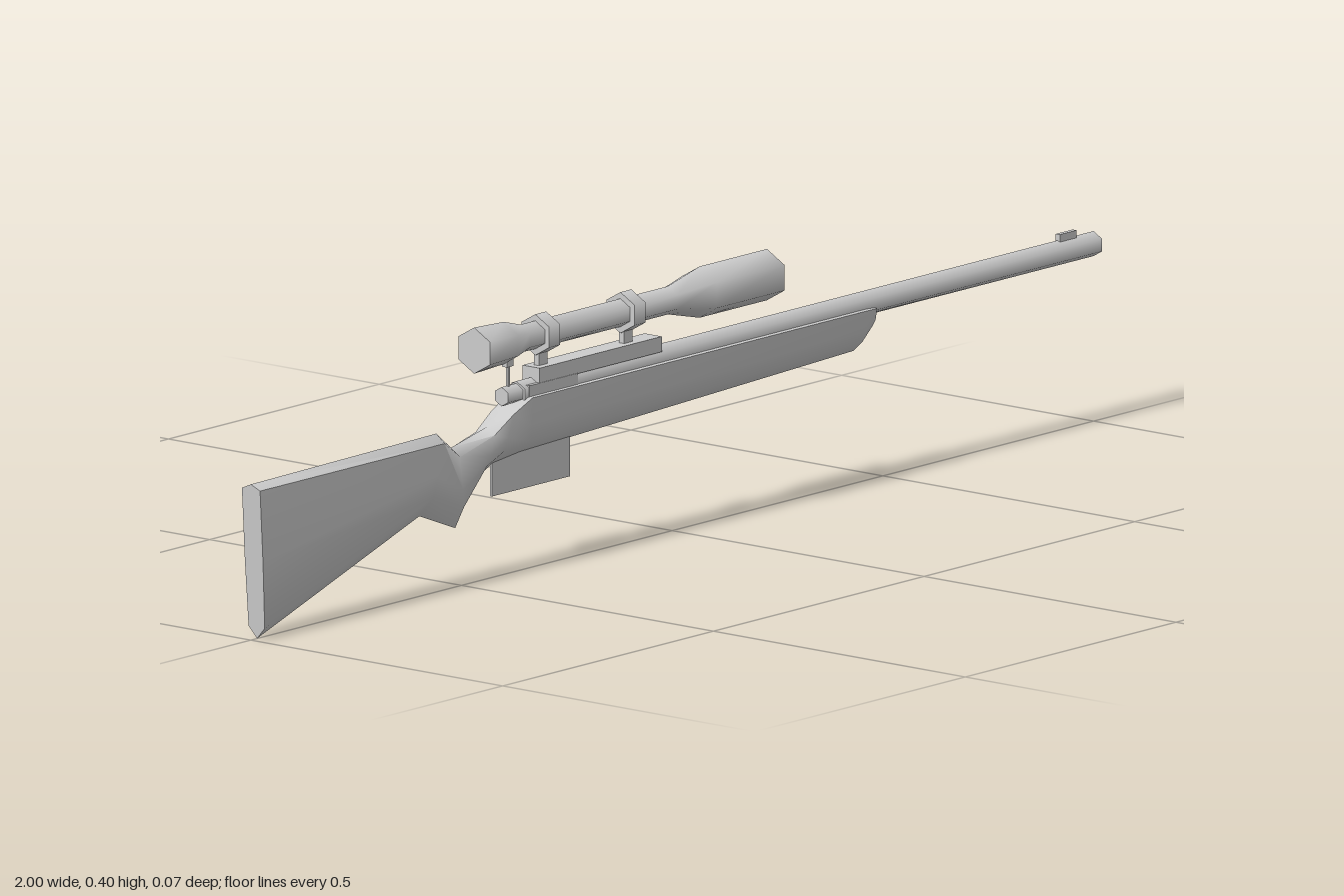
import * as THREE from 'three';
import { toCreasedNormals } from 'three/addons/utils/BufferGeometryUtils.js';

const material = new THREE.MeshStandardMaterial({ color: 0xcccccc });

function add(group, name, geometry, x = 0, y = 0, z = 0) {
  const mesh = new THREE.Mesh(geometry, material);
  mesh.name = name;
  mesh.position.set(x, y, z);
  group.add(mesh);
  return mesh;
}

// Box given by its x and y extents and half depth
function block(group, name, x0, x1, y0, y1, halfZ) {
  return add(group, name, new THREE.BoxGeometry(x1 - x0, y1 - y0, halfZ * 2), (x0 + x1) / 2, (y0 + y1) / 2);
}

// Six-sided rod along x with a corner pointing up
function hexRod(group, name, x0, x1, y, r) {
  const geo = new THREE.CylinderGeometry(r, r, x1 - x0, 6, 1, false, Math.PI / 6).rotateZ(-Math.PI / 2);
  return add(group, name, geo, (x0 + x1) / 2, y);
}

// Six-sided turned shape along x from [x, radius] pairs
function hexTurned(group, name, profile, y) {
  const points = profile.map(([x, r]) => new THREE.Vector2(r, x));
  const geo = new THREE.LatheGeometry(points, 6, Math.PI / 6).rotateZ(-Math.PI / 2);
  return add(group, name, toCreasedNormals(geo, 1.1), 0, y);
}

// Stock lofted through sections: [top x, top y, bottom x, bottom y, top half width, bottom half width, crown, keel]
function stockGeometry() {
  const sections = [
    [-1.0, 0.246, -0.985, 0.003, 0.018, 0.016, 0.008, 0.018],
    [-0.56, 0.25, -0.6, 0.128, 0.02, 0.02, 0.012, 0.03],
    [-0.525, 0.222, -0.515, 0.095, 0.018, 0.02, 0.012, 0.036],
    [-0.44, 0.24, -0.47, 0.16, 0.019, 0.018, 0.01, 0.025],
    [-0.4, 0.262, -0.43, 0.18, 0.022, 0.02, 0.006, 0.022],
    [-0.36, 0.278, -0.36, 0.187, 0.024, 0.021, 0.003, 0.02],
    [0.44, 0.278, 0.43, 0.21, 0.024, 0.016, 0.003, 0.016],
    [0.46, 0.277, 0.46, 0.235, 0.022, 0.014, 0.003, 0.012],
  ];
  const positions = [];
  const indices = [];
  for (const [tx, ty, bx, by, tw, bw, crown, keel] of sections) {
    const side = [
      [ty, 0],
      [ty - crown, tw],
      [(ty + by) / 2, (tw + bw) / 2 + 0.001],
      [by + keel, bw],
      [by, 0],
    ];
    const ring = [...side, ...side.slice(1, 4).reverse().map(([y, z]) => [y, -z])];
    for (const [y, z] of ring) positions.push(tx + (bx - tx) * (ty - y) / (ty - by), y, z);
  }
  const n = 8;
  const last = (sections.length - 1) * n;
  for (let i = 0; i < last; i += n) {
    for (let j = 0; j < n; j++) {
      const k = (j + 1) % n;
      indices.push(i + j, i + k, i + n + k, i + j, i + n + k, i + n + j);
    }
  }
  for (let j = 1; j < n - 1; j++) {
    indices.push(0, j + 1, j, last, last + j, last + j + 1);
  }
  const geo = new THREE.BufferGeometry();
  geo.setAttribute('position', new THREE.Float32BufferAttribute(positions, 3));
  geo.setIndex(indices);
  geo.computeVertexNormals();
  return toCreasedNormals(geo, 1.0);
}

export function createModel() {
  const model = new THREE.Group();
  model.name = 'scopedRifle';

  // Stock, barrel and front sight
  add(model, 'stock', stockGeometry());
  hexRod(model, 'barrel', -0.37, 1.0, 0.28, 0.0195);
  block(model, 'frontSight', 0.915, 0.955, 0.294, 0.309, 0.004);

  // Receiver, bolt and magazine plate
  block(model, 'receiver', -0.36, -0.245, 0.272, 0.293, 0.018);
  hexRod(model, 'boltShroud', -0.405, -0.36, 0.281, 0.015);
  block(model, 'boltPost', -0.392, -0.387, 0.285, 0.33, 0.002);
  block(model, 'boltKnob', -0.398, -0.383, 0.326, 0.337, 0.005);
  block(model, 'magazine', -0.43, -0.245, 0.13, 0.2, 0.002);

  // Scope with its rail, posts and rings
  const scope = new THREE.Group();
  scope.name = 'scope';
  model.add(scope);
  const scopeY = 0.364;
  block(scope, 'rail', -0.335, -0.045, 0.292, 0.316, 0.017);
  hexTurned(scope, 'scopeTube', [
    [-0.47, 0], [-0.47, 0.036], [-0.4, 0.033], [-0.36, 0.022], [-0.01, 0.022],
    [0.065, 0.04], [0.225, 0.04], [0.225, 0],
  ], scopeY);
  for (const x of [-0.312, -0.11]) {
    hexRod(scope, 'scopeRing', x - 0.013, x + 0.013, scopeY, 0.032);
    block(scope, 'ringPost', x - 0.01, x + 0.01, 0.312, 0.338, 0.005);
  }
  return model;
}
